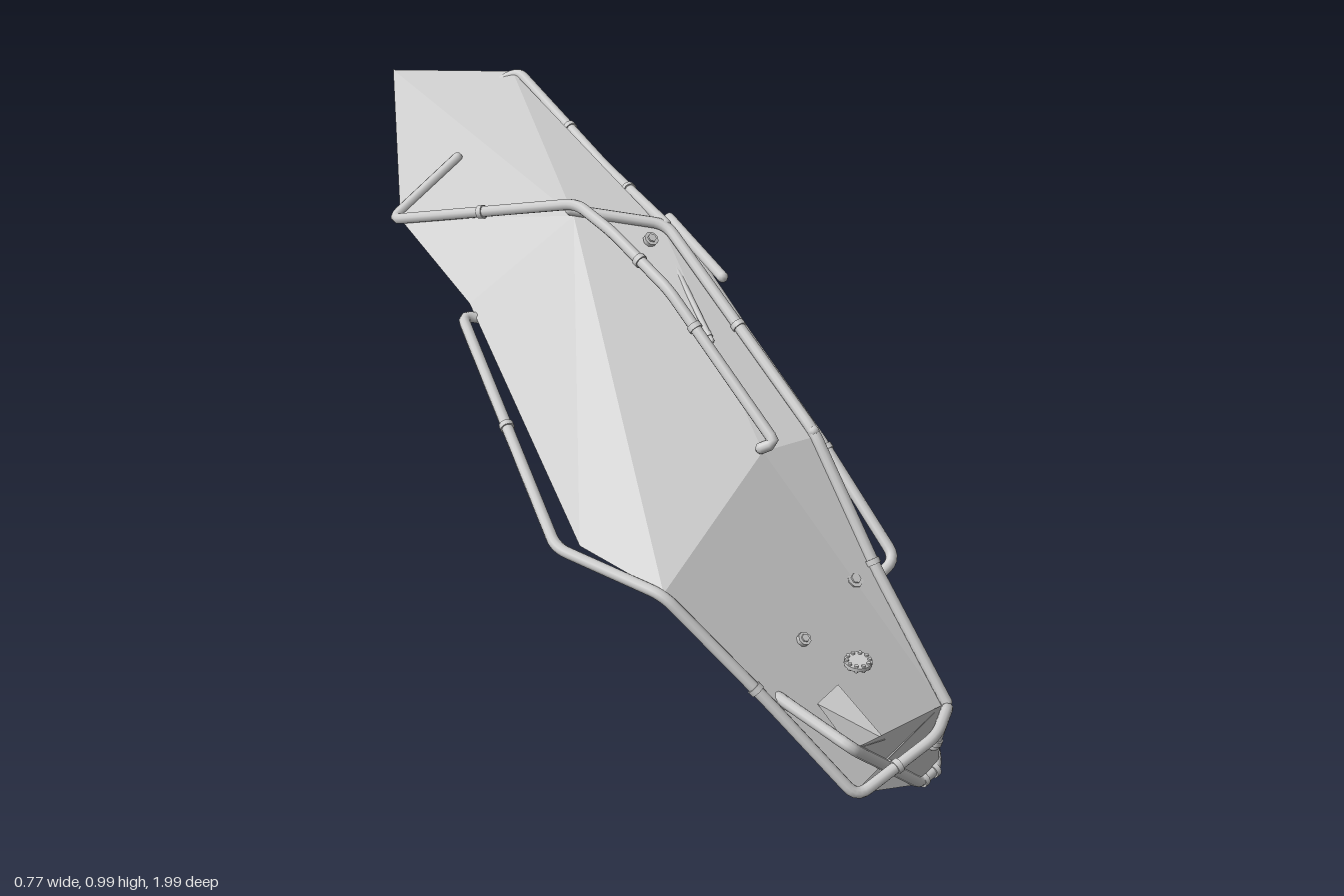
import * as THREE from 'three';

// Corner points of the faceted shell
const P = {
  tailTip: [0.23, 0.93, -1], tailRight: [0.365, 0.985, -0.71], tailLeft: [-0.085, 0.81, -0.54],
  crown: [0.075, 0.925, -0.13], crownRight: [0.205, 0.905, 0.01],
  backLeft: [-0.115, 0.73, -0.25], wing: [-0.335, 0.535, 0.39], wingFront: [-0.3, 0.52, 0.6],
  browLeft: [0.045, 0.655, 0.5], browRight: [0.165, 0.655, 0.525],
  sideFront: [0.235, 0.38, 0.67], sideBack: [0.28, 0.85, -0.17],
  belly: [0.07, 0.3, 0.67], waist: [0.12, 0.72, -0.03],
  lip: [0.165, 0.215, 0.92], lipLeft: [-0.115, 0.158, 0.955], noseLeft: [-0.14, 0.285, 0.965],
  tip: [0.14, 0.015, 0.905], tipRight: [0.2, 0.03, 0.895], cheek: [0.21, 0.09, 0.84],
  plateBackLeft: [-0.1, 0.295, 0.83], plateBackRight: [-0.045, 0.315, 0.83], plateFront: [-0.03, 0.245, 0.95],
};

const PANELS = {
  topShell: ['wingFront browLeft crown', 'browLeft browRight crownRight', 'browLeft crownRight crown',
    'wingFront crown wing', 'wing crown backLeft', 'crown tailLeft backLeft'],
  frontShell: ['wingFront lip browLeft', 'browLeft lip browRight', 'wingFront lipLeft lip'],
  noseFront: ['noseLeft tip lip', 'tip tipRight lip'],
  nosePlate: ['plateBackLeft noseLeft plateFront', 'plateBackLeft plateFront plateBackRight'],
  sideShell: ['lip tipRight cheek', 'lip cheek sideFront', 'lip sideFront browRight',
    'browRight sideFront sideBack', 'browRight sideBack crownRight'],
  tailTop: ['crown tailTip tailLeft', 'crown tailRight tailTip', 'crown crownRight tailRight',
    'crownRight sideBack tailRight'],
  tailUnderside: ['sideBack tailTip tailRight', 'sideBack tailLeft tailTip',
    'waist tailLeft sideBack', 'waist backLeft tailLeft'],
  underside: ['sideFront belly waist', 'sideFront waist sideBack', 'belly wing waist',
    'waist wing backLeft', 'belly lipLeft wingFront', 'belly wingFront wing',
    'belly tip lipLeft', 'belly sideFront cheek', 'belly cheek tipRight', 'belly tipRight tip'],
};

const V = (p) => new THREE.Vector3(...p);
const shellMat = new THREE.MeshStandardMaterial({ color: 0xcccccc, flatShading: true, side: THREE.DoubleSide });
const pipeMat = new THREE.MeshStandardMaterial({ color: 0xcccccc });
const R = 0.012;

function add(parent, name, geo, mat = pipeMat) {
  const mesh = new THREE.Mesh(geo, mat);
  mesh.name = name;
  parent.add(mesh);
  return mesh;
}

function facets(parent, name, triangles) {
  const geo = new THREE.BufferGeometry();
  geo.setAttribute('position', new THREE.Float32BufferAttribute(triangles.flat(2), 3));
  geo.computeVertexNormals();
  add(parent, name, geo, shellMat);
}

// Short cylinder centred at a point, along a direction
function collar(parent, name, at, dir, radius, length, sides = 12) {
  const m = add(parent, name, new THREE.CylinderGeometry(radius, radius, length, sides));
  m.position.copy(at);
  m.quaternion.setFromUnitVectors(new THREE.Vector3(0, 1, 0), dir.clone().normalize());
}

// Pipe along straight runs with rounded bends; rings are [run index, fraction]
function pipe(parent, name, coords, rings = [], radius = R) {
  const group = new THREE.Group();
  group.name = name;
  const pts = coords.map(V);
  const path = new THREE.CurvePath();
  let from = pts[0];
  for (let i = 1; i < pts.length - 1; i++) {
    const before = pts[i - 1].clone().sub(pts[i]), after = pts[i + 1].clone().sub(pts[i]);
    const r = Math.min(0.028, before.length() * 0.4, after.length() * 0.4);
    const a = pts[i].clone().addScaledVector(before.normalize(), r);
    const b = pts[i].clone().addScaledVector(after.normalize(), r);
    path.add(new THREE.LineCurve3(from, a));
    path.add(new THREE.QuadraticBezierCurve3(a, pts[i], b));
    from = b;
  }
  const last = pts[pts.length - 1];
  path.add(new THREE.LineCurve3(from, last));
  add(group, 'tube', new THREE.TubeGeometry(path, Math.ceil(path.getLength() / 0.01), radius, 10));
  for (const end of [pts[0], last])
    add(group, 'endCap', new THREE.SphereGeometry(radius, 10, 6)).position.copy(end);
  for (const [i, t] of rings) {
    const dir = pts[i + 1].clone().sub(pts[i]);
    collar(group, 'ring', pts[i].clone().lerp(pts[i + 1], t), dir, radius * 1.25, 0.012);
  }
  parent.add(group);
}

export function createModel() {
  const model = new THREE.Group();
  model.name = 'pipedShell';

  // Faceted shell
  for (const [name, list] of Object.entries(PANELS))
    facets(model, name, list.map((t) => t.split(' ').map((k) => P[k])));

  // Pipes that follow the shell edges
  pipe(model, 'leftPipe', [[-0.03, 0.67, -0.08], [-0.03, 0.685, -0.15], [-0.148, 0.72, -0.235],
    [-0.375, 0.535, 0.365], [-0.3, 0.515, 0.6], [-0.2, 0.33, 0.79], [-0.115, 0.157, 0.965],
    [0.085, 0.215, 0.98], [0.172, 0.222, 0.93], [0.15, 0.12, 0.92]],
  [[2, 0.5], [4, 0.9], [6, 0.5], [8, 0.9]]);
  pipe(model, 'ridgePipe', [[0.075, 0.935, -0.14], [0.21, 0.917, 0.012], [0.165, 0.665, 0.52],
    [0.16, 0.44, 0.72], [0.17, 0.222, 0.925]], [[1, 0.5], [2, 0.95]]);
  pipe(model, 'crownPipe', [[0.04, 0.665, 0.5], [0.058, 0.68, 0.52], [0.062, 0.885, 0.19],
    [0.07, 0.94, 0], [0.075, 0.957, -0.12], [-0.095, 0.805, -0.56], [0.09, 0.9, -0.56]],
  [[1, 0.75], [2, 0.5], [4, 0.5]]);
  pipe(model, 'sidePipe', [[-0.05, 0.38, 0.54], [0.07, 0.3, 0.67], [0.272, 0.388, 0.67],
    [0.28, 0.55, 0.44], [0.295, 0.7, 0.17], [0.325, 0.855, -0.12], [0.21, 0.865, 0.19]],
  [[2, 0.97]]);
  pipe(model, 'tailEdgePipe', [[0.21, 0.917, 0.01], [0.305, 0.908, -0.3], [0.375, 0.985, -0.7],
    [0.25, 0.915, -0.77]], [[0, 0.6], [1, 0.4]]);
  pipe(model, 'keelPipe', [[0.2, 0.74, 0.03], [0.175, 0.815, -0.6], [0.28, 0.87, -0.52]], [[0, 0.35]]);
  pipe(model, 'rearSidePipe', [[0.25, 0.785, -0.17], [0.335, 0.79, -0.25], [0.335, 0.885, -0.42],
    [0.29, 0.89, -0.4]]);
  pipe(model, 'bellyPipe', [[0.07, 0.3, 0.67], [0.1, 0.52, 0.2], [0.14, 0.72, 0]],
    [[0, 0.35], [0, 0.95]]);
  pipe(model, 'cheekPipe', [[0.165, 0.665, 0.52], [0.258, 0.69, 0.235], [0.22, 0.775, 0.21]],
    [[0, 0.5], [1, 0.9]]);
  pipe(model, 'nosePipe', [[-0.172, 0.325, 0.76], [-0.138, 0.288, 0.968],
    [0.135, 0.022, 0.905], [0.19, 0.028, 0.9], [0.215, 0.06, 0.865], [0.205, 0.1, 0.83]],
  [[1, 0.48], [2, 0.2], [2, 0.85]]);
  pipe(model, 'thinRod', [[0.115, 0.78, 0.265], [0.175, 0.86, 0.08]], [[0, 0.08]], 0.006);

  // Flat round cap with studs above the nose
  const up = new THREE.Vector3(0, 1, 0);
  const cap = new THREE.Group();
  cap.name = 'floatingCap';
  cap.position.set(-0.08, 0.433, 0.91);
  collar(cap, 'disc', new THREE.Vector3(), up, 0.027, 0.008, 24);
  for (let i = 0; i < 10; i++) {
    const a = (i / 10) * Math.PI * 2;
    collar(cap, 'stud', new THREE.Vector3(Math.cos(a) * 0.022, 0, Math.sin(a) * 0.022), up, 0.004, 0.016, 8);
  }
  model.add(cap);

  // Bolts on the front and crown
  const out = new THREE.Vector3(0, 0.8, 0.6);
  for (const [x, y, z, r] of [[0.11, 0.43, 0.71, 0.018], [-0.065, 0.388, 0.75, 0.014], [0.165, 0.897, 0.015, 0.016]]) {
    const at = new THREE.Vector3(x, y, z);
    collar(model, 'bolt', at, out, r, 0.01, 8);
    collar(model, 'boltHead', at.clone().addScaledVector(out, 0.005), out, r * 0.6, 0.008, 6);
  }
  return model;
}
